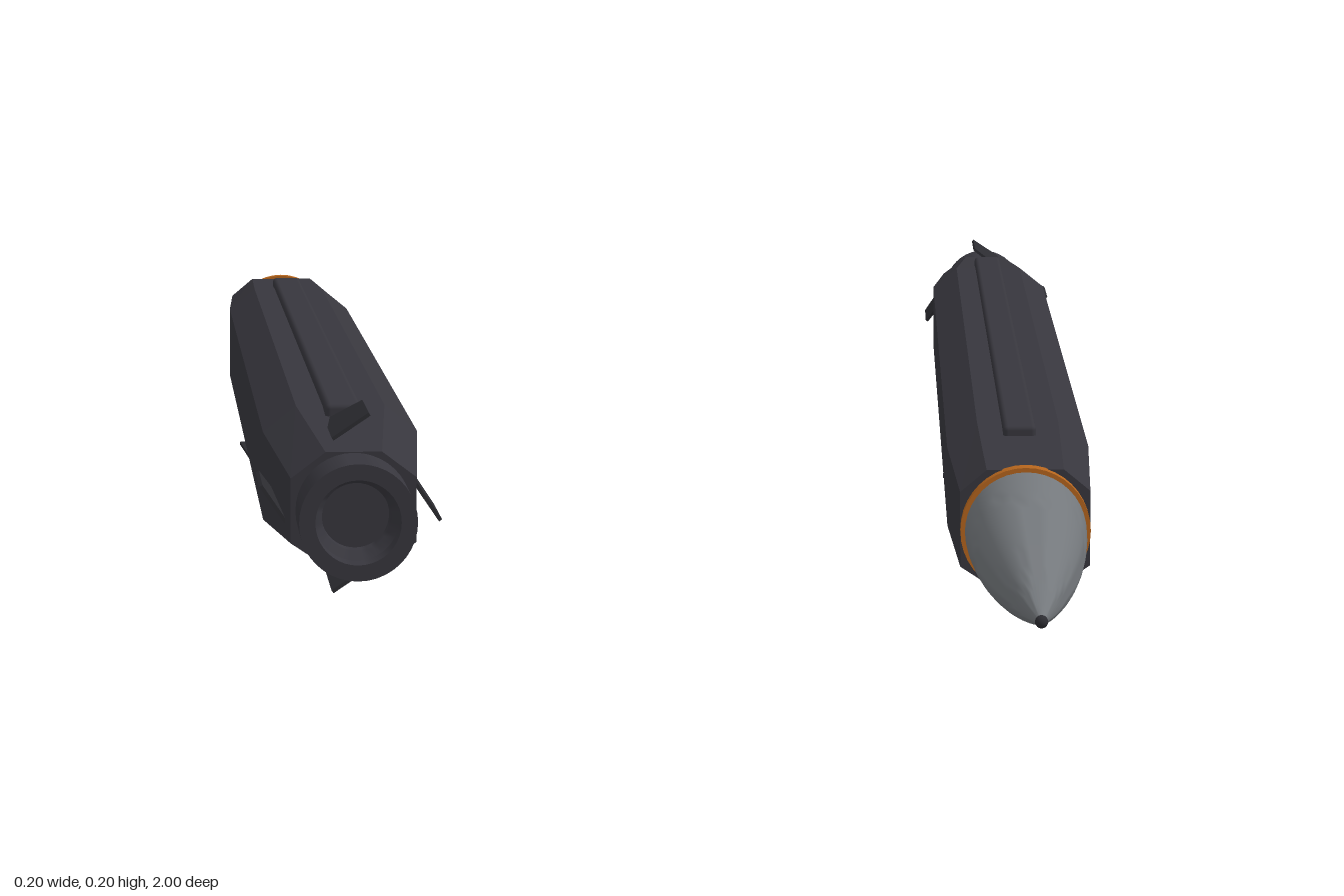
import * as THREE from 'three';
import { toCreasedNormals } from 'three/addons/utils/BufferGeometryUtils.js';
import { RoundedBoxGeometry } from 'three/addons/geometries/RoundedBoxGeometry.js';

const AXIS_Y = 0.1; // height of the long axis

function material(name, color, side = THREE.FrontSide) {
  const m = new THREE.MeshStandardMaterial({ color, side });
  m.name = name;
  return m;
}

// Closed body from chamfered cross-sections: [z, halfWidth, top, bottom, cornerX, cornerY]
function loftBody(sections) {
  const pos = [], index = [], n = 8;
  for (const [z, w, t, b, cx, cy] of sections) {
    const loop = [[-cx, -b], [cx, -b], [w, -cy], [w, cy], [cx, t], [-cx, t], [-w, cy], [-w, -cy]];
    for (const [x, y] of loop) pos.push(x, y, z);
  }
  const last = (sections.length - 1) * n;
  for (let i = 0; i < last; i += n) {
    for (let j = 0; j < n; j++) {
      const k = (j + 1) % n;
      index.push(i + j, i + k, i + n + k, i + j, i + n + k, i + n + j);
    }
  }
  for (let j = 1; j < n - 1; j++) index.push(0, j + 1, j, last, last + j, last + j + 1);
  const g = new THREE.BufferGeometry();
  g.setAttribute('position', new THREE.Float32BufferAttribute(pos, 3));
  g.setIndex(index);
  const flat = g.toNonIndexed();
  flat.computeVertexNormals();
  return flat;
}

// Turned part along z; points are [radius, z], listed from rear to nose on the outside
function turned(points, crease = 0.5) {
  const g = new THREE.LatheGeometry(points.map(([r, z]) => new THREE.Vector2(r, -z)), 40);
  return toCreasedNormals(g.rotateX(-Math.PI / 2), crease);
}

// Thin horizontal plate from an outline of [x, z]
function plate(outline, thickness) {
  const shape = new THREE.Shape(outline.map(([x, z]) => new THREE.Vector2(x, -z)));
  const g = new THREE.ExtrudeGeometry(shape, { depth: thickness, bevelEnabled: false });
  return g.rotateX(-Math.PI / 2).translate(0, -thickness / 2, 0);
}

export function createModel() {
  const model = new THREE.Group();
  const bodyPaint = material('charcoal body', 0x37363d);
  const finPaint = material('dark fins', 0x2c2c31);
  const nosePaint = material('grey nose', 0x74787c);
  const bandPaint = material('orange band', 0xb5651d);

  function add(name, geometry, mat, y = AXIS_Y, parent = model) {
    const mesh = new THREE.Mesh(geometry, mat);
    mesh.name = name;
    mesh.position.y = y;
    parent.add(mesh);
    return mesh;
  }

  // Faceted body, tapering at both ends
  add('body', loftBody([
    [-0.61, 0.076, 0.071, 0.066, 0.045, 0.045],
    [-0.4, 0.087, 0.08, 0.073, 0.05, 0.05],
    [0.72, 0.087, 0.08, 0.073, 0.05, 0.05],
    [0.93, 0.067, 0.063, 0.06, 0.03, 0.035],
  ]), bodyPaint);

  // Nose: pointed ogive, orange band and tip
  const ogive = [];
  for (let i = 0; i <= 14; i++) {
    const t = i / 14;
    ogive.push([0.071 * (1 - Math.pow(t, 1.75)) + 0.003 * t, -0.61 - 0.385 * t]);
  }
  add('nose', turned(ogive), nosePaint);
  add('noseBand', turned([[0.06, -0.606], [0.076, -0.606], [0.076, -0.622], [0.06, -0.622]]), bandPaint);
  const tip = add('noseTip', new THREE.SphereGeometry(0.007, 16, 12), finPaint);
  tip.position.z = -0.993;

  // Rear nozzle with a stepped bore
  add('nozzle', turned([
    [0, 0.95], [0.036, 0.95], [0.036, 0.965], [0.045, 0.975],
    [0.045, 1], [0.062, 1], [0.062, 0.91],
  ]), bodyPaint);

  // Rail along the top
  const rail = add('topRail', new RoundedBoxGeometry(0.04, 0.022, 1.235, 2, 0.006), bodyPaint, 0.179);
  rail.position.z = 0.155;

  // Folded wings under the belly, one over the other
  const wingMount = add('wingMount', new THREE.BoxGeometry(0.104, 0.012, 0.5), finPaint, 0.024);
  wingMount.position.z = 0.09;
  const wing = [[-0.086, -0.02], [-0.06, 0.34], [0.055, 0.34], [0.03, -0.05]];
  add('rightWing', plate(wing, 0.004), finPaint, 0.012);
  add('leftWing', plate(wing.map(([x, z]) => [-x, z]).reverse(), 0.004), finPaint, 0.02);

  // Four canted tail fins around the axis
  const fin = plate([[0, 0.77], [0, 0.89], [0.048, 0.89], [0.048, 0.8]], 0.004)
    .rotateZ(Math.atan2(0.027, 0.04))
    .translate(-0.02, 0.07, 0);
  for (let i = 0; i < 4; i++) {
    add('tailFin' + (i + 1), fin, finPaint).rotation.z = -i * Math.PI / 2;
  }
  return model;
}
